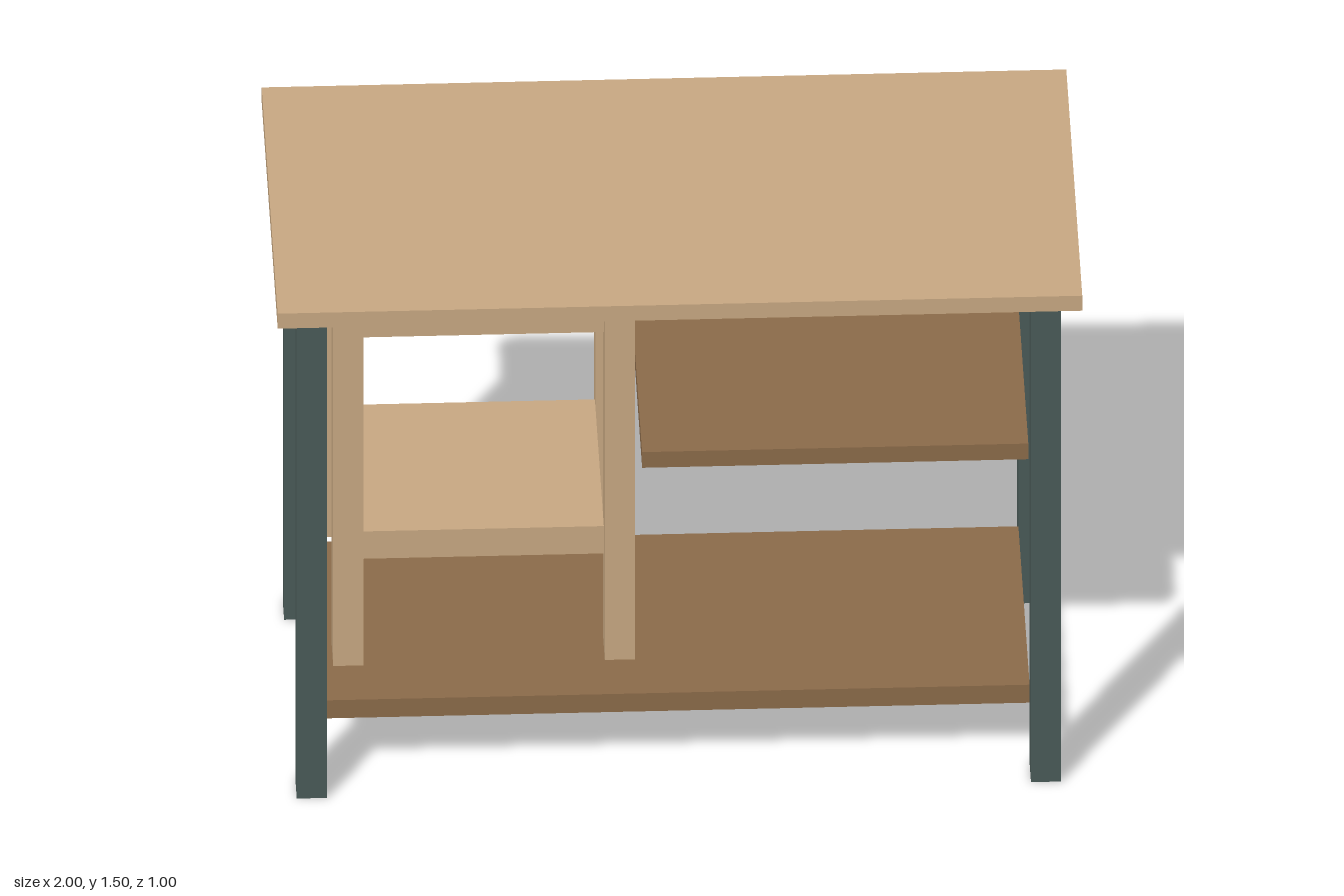
import * as THREE from 'three';

export function createModel() {
  const model = new THREE.Group();
  model.name = 'workbench';

  const material = (name, color) => {
    const m = new THREE.MeshStandardMaterial({ color });
    m.name = name;
    return m;
  };
  const lightWood = material('light wood', 0xc8a882);
  const darkWood = material('dark wood', 0x8b6b4a);
  const paintedFrame = material('grey green paint', 0x4a5a58);

  // Box given by its [min, max] extent along each axis
  function addBox(parent, name, mat, [x0, x1], [y0, y1], [z0, z1]) {
    const mesh = new THREE.Mesh(new THREE.BoxGeometry(x1 - x0, y1 - y0, z1 - z0), mat);
    mesh.position.set((x0 + x1) / 2, (y0 + y1) / 2, (z0 + z1) / 2);
    mesh.name = name;
    parent.add(mesh);
  }

  // Table top and the block beneath it
  addBox(model, 'tableTop', lightWood, [-1, 1], [1.457, 1.502], [-0.5, 0.5]);
  addBox(model, 'apron', paintedFrame, [-0.875, 0.875], [1.39, 1.457], [-0.355, 0.355]);

  // Four legs
  for (const x of [-0.9125, 0.9125]) {
    for (const z of [-0.395, 0.395]) {
      addBox(model, 'leg', paintedFrame, [x - 0.0375, x + 0.0375], [0, 1.457], [z - 0.04, z + 0.04]);
    }
  }

  // Shelves
  addBox(model, 'bottomShelf', darkWood, [-0.875, 0.875], [0.181, 0.235], [-0.35, 0.35]);
  addBox(model, 'middleShelf', darkWood, [-0.085, 0.875], [0.858, 0.905], [-0.35, 0.27]);

  // Small rack standing on the bottom shelf
  const rack = new THREE.Group();
  rack.name = 'rack';
  model.add(rack);
  for (const x of [-0.8125, -0.1375]) {
    for (const z of [-0.425, 0.145]) {
      addBox(rack, 'rackPost', lightWood, [x - 0.0375, x + 0.0375], [0.235, 1.345], [z - 0.054, z + 0.054]);
    }
  }
  for (const y of [0.515, 1.18]) {
    addBox(rack, 'rackBoard', lightWood, [-0.775, -0.175], [y, y + 0.082], [-0.42, 0.14]);
  }

  return model;
}
